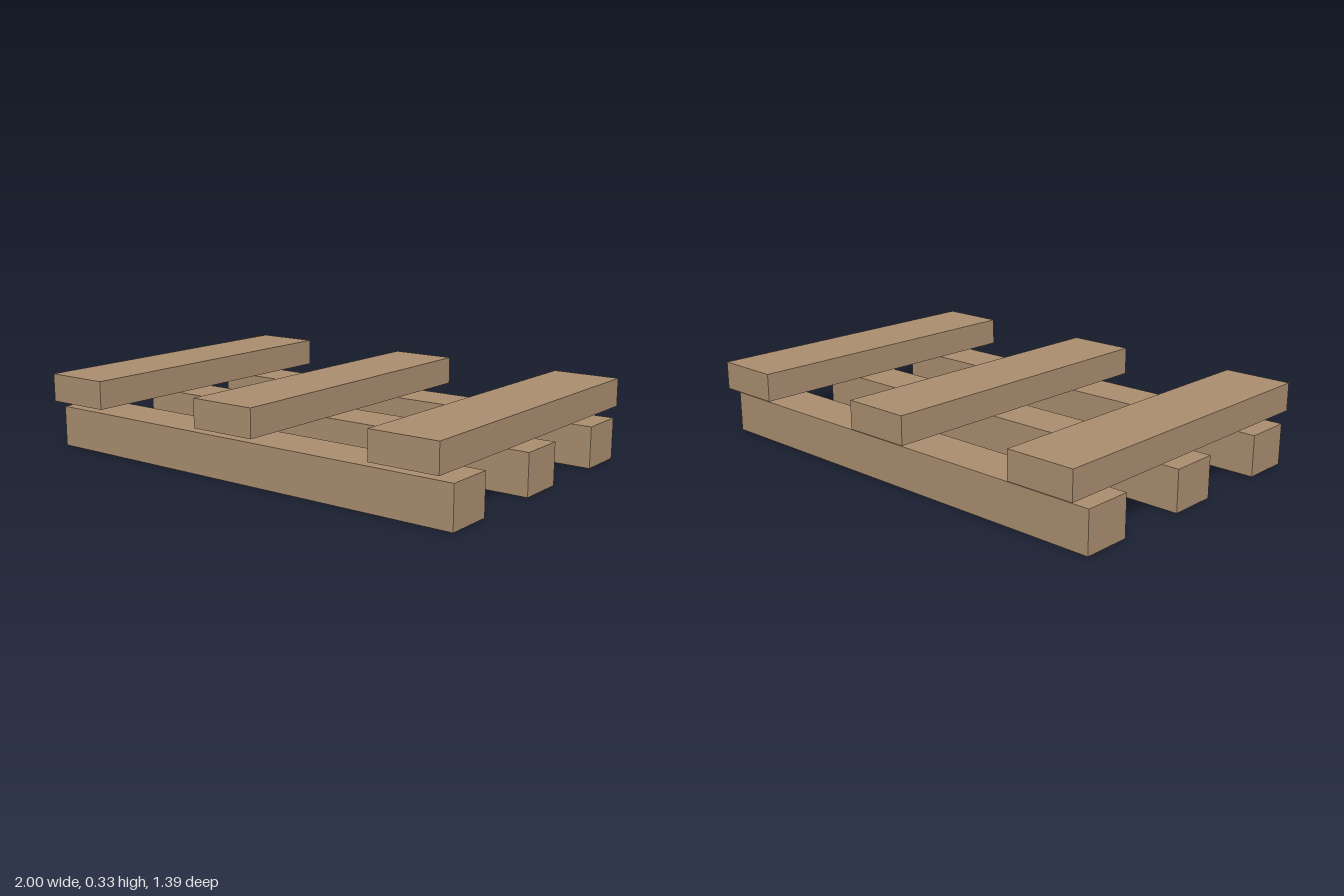
import * as THREE from 'three';

export function createModel() {
  const group = new THREE.Group();
  const wood = new THREE.MeshStandardMaterial({ color: 0xa88c6e });
  wood.name = 'wood';

  const addBoard = (name, w, h, d, x, y, z) => {
    const board = new THREE.Mesh(new THREE.BoxGeometry(w, h, d), wood);
    board.name = name;
    board.position.set(x, y, z);
    group.add(board);
  };

  // Three long beams resting on the ground
  ['backBeam', 'middleBeam', 'frontBeam'].forEach((name, i) =>
    addBoard(name, 2, 0.175, 0.209, 0, 0.0875, (i - 1) * 0.523));

  // Three flat planks laid across, with a small gap above the beams
  ['rightPlank', 'middlePlank', 'leftPlank'].forEach((name, i) =>
    addBoard(name, 0.295, 0.12, 1.39, (i - 1) * 0.835, 0.272, 0));

  return group;
}
